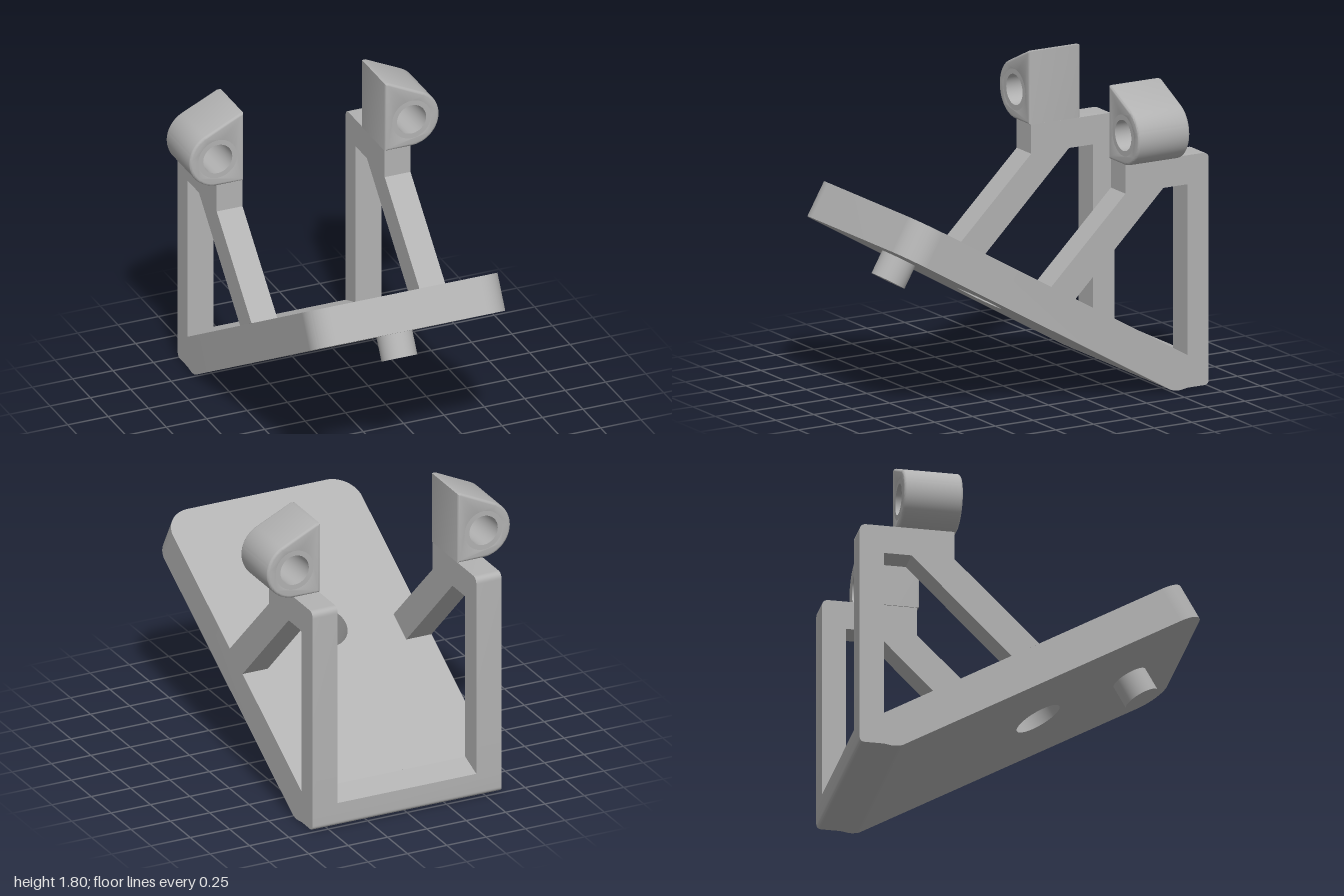
import * as THREE from 'three';
import { toCreasedNormals } from 'three/addons/utils/BufferGeometryUtils.js';

const grey = new THREE.MeshStandardMaterial({ color: 0xb2b2b2 });
grey.name = 'grey';

const W = 0.6;        // half width of the bracket
const POST = 0.16;    // thickness of each side frame
const T = 0.22;       // plate thickness
const LUG_Z = -0.605; // middle of the lugs

function add(parent, name, geometry) {
  const mesh = new THREE.Mesh(toCreasedNormals(geometry, 0.6), grey);
  mesh.name = name;
  parent.add(mesh);
  return mesh;
}

// Extrudes a side profile, drawn with x = -z, along the model's x axis.
function sideExtrude(shape, x0, depth) {
  return new THREE.ExtrudeGeometry(shape, { depth, bevelEnabled: false, curveSegments: 8 })
    .rotateY(Math.PI / 2).translate(x0, 0, 0);
}

function circlePath(x, y, r) {
  return new THREE.Path().absarc(x, y, r, 0, Math.PI * 2, true);
}

export function createModel() {
  const model = new THREE.Group();
  model.name = 'bracket';

  // Sloping plate with rounded front corners, a hole and a pin underneath
  const ramp = new THREE.Group();
  ramp.name = 'ramp';
  ramp.position.set(0, 0.2, -0.86);
  ramp.rotation.x = Math.PI / 3;
  model.add(ramp);
  const L = 2.02, R = 0.16;
  const plate = new THREE.Shape();
  plate.moveTo(-W, 0);
  plate.lineTo(W, 0);
  plate.lineTo(W, L - R);
  plate.absarc(W - R, L - R, R, 0, Math.PI / 2, false);
  plate.lineTo(-W + R, L);
  plate.absarc(-W + R, L - R, R, Math.PI / 2, Math.PI, false);
  plate.closePath();
  plate.holes.push(circlePath(0, 1.05, 0.14));
  add(ramp, 'plate', new THREE.ExtrudeGeometry(plate, { depth: T, bevelEnabled: false, curveSegments: 24 }));
  const pin = new THREE.CylinderGeometry(0.104, 0.104, 0.15, 48).rotateX(Math.PI / 2);
  add(ramp, 'pin', pin).position.set(0, 1.661, T + 0.067);

  // Heel joining the plate to the back posts
  const heel = new THREE.Shape();
  heel.moveTo(0.86, 0.2);
  heel.lineTo(0.75, 0.0095);
  heel.quadraticCurveTo(0.775, 0, 0.81, 0);
  heel.lineTo(0.86, 0.008);
  heel.lineTo(0.97, 0.008);
  heel.quadraticCurveTo(1, 0.008, 1, 0.038);
  heel.lineTo(1, 0.15);
  heel.closePath();
  add(model, 'heel', sideExtrude(heel, -W, 2 * W));

  // Side frame: post, top bar and diagonal strut
  const frame = new THREE.Shape();
  frame.moveTo(-0.04, 0.72);
  frame.lineTo(0.12, 0.627);
  frame.lineTo(0.7, 1.2);
  frame.lineTo(0.86, 1.2);
  frame.lineTo(0.86, 0.2);
  frame.lineTo(1, 0.15);
  frame.lineTo(1, 1.33);
  frame.quadraticCurveTo(1, 1.37, 0.96, 1.37);
  frame.lineTo(0.45, 1.37);
  frame.lineTo(0.45, 1.2);
  frame.closePath();

  // Teardrop lug, softly rounded on its edges
  const cx = 0.6, cy = 1.543, r = 0.172, edge = 0.015;
  const lug = new THREE.Shape();
  lug.moveTo(0.437, cy - r);
  lug.lineTo(cx, cy - r);
  lug.absarc(cx, cy, r, -Math.PI / 2, Math.PI * 0.356, false);
  lug.lineTo(0.46, 1.8);
  lug.lineTo(0.437, 1.8);
  lug.closePath();
  lug.holes.push(circlePath(cx, cy, 0.105));
  const lugGeometry = new THREE.ExtrudeGeometry(lug, {
    depth: 0.34 - 2 * edge, bevelSize: edge, bevelThickness: edge,
    bevelOffset: -edge, bevelSegments: 3, curveSegments: 24,
  }).translate(0, 0, -0.17 + edge);

  // Straight lining of the lug's bore
  const ring = new THREE.Shape().absarc(cx, cy, 0.12, 0, Math.PI * 2, false);
  ring.holes.push(circlePath(cx, cy, 0.09));
  const ringGeometry = new THREE.ExtrudeGeometry(ring, { depth: 0.34, bevelEnabled: false, curveSegments: 24 })
    .translate(0, 0, -0.17);

  for (const side of ['left', 'right']) {
    const left = side === 'left';
    add(model, side + 'Frame', sideExtrude(frame, left ? W - POST : -W, POST));
    const hinge = new THREE.Group();
    hinge.name = side + 'Hinge';
    hinge.position.z = LUG_Z;
    hinge.rotation.y = left ? 0 : Math.PI;
    add(hinge, side + 'Lug', lugGeometry);
    add(hinge, side + 'Bore', ringGeometry);
    model.add(hinge);
  }
  return model;
}
